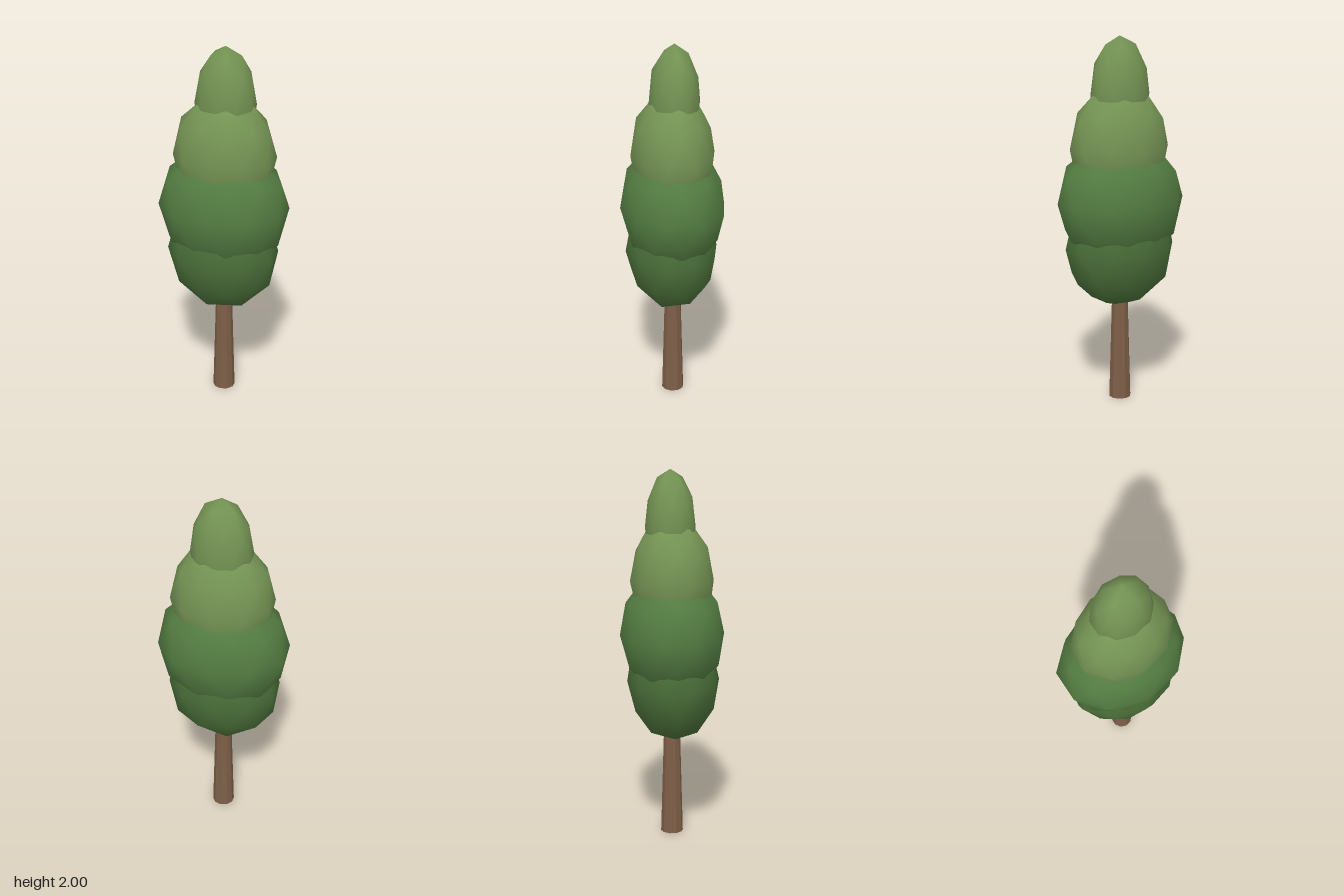
import * as THREE from 'three';
import { mergeVertices } from 'three/addons/utils/BufferGeometryUtils.js';

// Small seeded generator for the organic unevenness
function seeded(seed) {
  return () => {
    seed = (seed * 16807) % 2147483647;
    return seed / 2147483647;
  };
}

// Smooth, slightly uneven low-poly leaf clump with a vertex at each pole
function clumpGeometry([rx, ry, rz], seed) {
  let geometry = new THREE.IcosahedronGeometry(1, 1);
  geometry.rotateZ(-Math.atan(2 / (1 + Math.sqrt(5))));
  geometry.deleteAttribute('normal');
  geometry.deleteAttribute('uv');
  geometry = mergeVertices(geometry, 1e-3);

  const random = seeded(seed);
  const position = geometry.attributes.position;
  const v = new THREE.Vector3();
  for (let i = 0; i < position.count; i++) {
    v.fromBufferAttribute(position, i);
    if (Math.abs(v.y) < 0.99) v.multiplyScalar(1 + (random() - 0.5) * 0.03);
    position.setXYZ(i, v.x * rx, v.y * ry, v.z * rz);
  }
  geometry.computeVertexNormals();
  return geometry;
}

export function createModel() {
  const tree = new THREE.Group();
  tree.name = 'tree';

  // Tapered, faceted trunk reaching into the lowest clump
  const trunk = new THREE.Mesh(
    new THREE.CylinderGeometry(0.041, 0.061, 0.7, 10),
    new THREE.MeshStandardMaterial({ color: 0x7d5f48, flatShading: true })
  );
  trunk.name = 'trunk';
  trunk.position.set(0.003, 0.35, 0);
  tree.add(trunk);

  // Foliage clumps stacked from bottom to top
  const clumps = [
    { name: 'lowerFoliage', at: [0, 0.865, 0.005], radii: [0.31, 0.335, 0.252], color: 0x4a6f39 },
    { name: 'middleFoliage', at: [0, 1.12, 0], radii: [0.361, 0.355, 0.286], color: 0x547d42 },
    { name: 'upperFoliage', at: [0.004, 1.41, 0], radii: [0.28, 0.35, 0.223], color: 0x759454 },
    { name: 'topFoliage', at: [0.008, 1.695, -0.008], radii: [0.166, 0.305, 0.135], color: 0x759454 },
  ];
  clumps.forEach(({ name, at, radii, color }, i) => {
    const clump = new THREE.Mesh(
      clumpGeometry(radii, 101 + i * 977),
      new THREE.MeshStandardMaterial({ color })
    );
    clump.name = name;
    clump.position.set(...at);
    tree.add(clump);
  });

  return tree;
}
